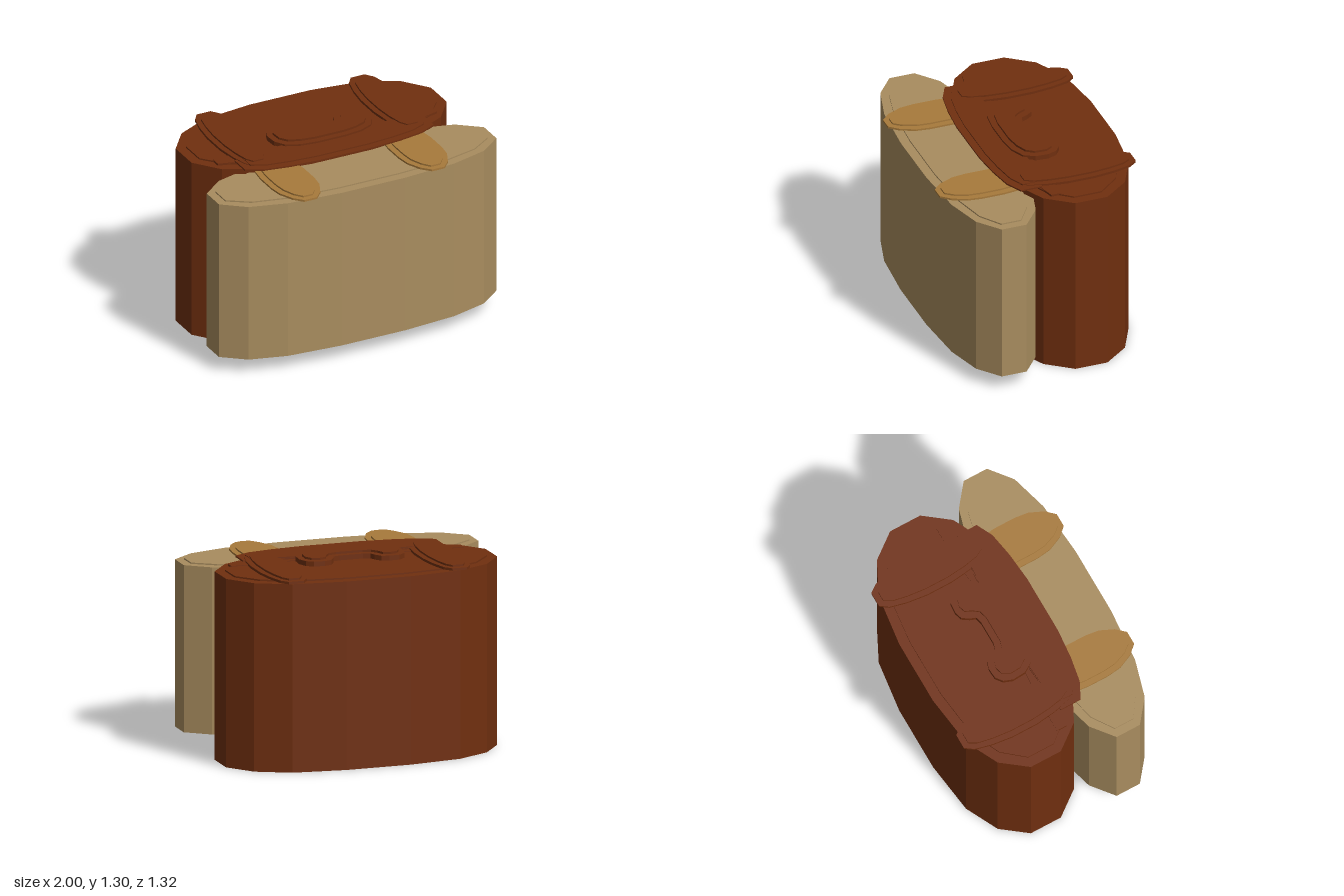
import * as THREE from 'three';

const mat = (name, color) => new THREE.MeshStandardMaterial({ name, color, flatShading: true });

// Horizontal slab from an [x, z] outline, between heights y0 and y1
function slab(name, pts, y0, y1, material) {
  const shape = new THREE.Shape(pts.map(([x, z]) => new THREE.Vector2(x, -z)));
  const geo = new THREE.ExtrudeGeometry(shape, { depth: y1 - y0, bevelEnabled: false });
  geo.rotateX(-Math.PI / 2).translate(0, y0, 0);
  const mesh = new THREE.Mesh(geo, material);
  mesh.name = name;
  return mesh;
}

// Full 16-sided outline from one quadrant of points, mirrored both ways about (cx, cz)
function oval(quarter, cx, cz, sx = 1, sz = 1) {
  const half = [...quarter, ...[...quarter].reverse().map(([x, z]) => [-x, z])];
  const all = [...half, ...[...half].reverse().map(([x, z]) => [x, -z])];
  return all.map(([x, z]) => [cx + x * sx, cz + z * sz]);
}

// Outline mirrored about x = 0, given its right half
const mirrorX = (right) => [...right, ...[...right].reverse().map(([x, z]) => [-x, z])];

export function createModel() {
  const group = new THREE.Group();
  const brown = mat('brown leather', 0x702f0f);
  const tan = mat('tan canvas', 0xa98d5f);
  const ochre = mat('ochre strap', 0xa87a3b);
  const add = (...args) => group.add(slab(...args));

  // Main compartment and its raised lid panel
  const mainQ = [[0.92, 0.11], [0.79, 0.28], [0.57, 0.39], [0.22, 0.435]];
  add('mainBody', oval(mainQ, 0, -0.225), 0, 1.24, brown);
  add('mainLidPanel', oval(mainQ, 0, -0.225, 0.93, 0.85), 1.24, 1.25, brown);

  // Front pocket and its raised panel
  const pocketQ = [[1, 0.085], [0.85, 0.205], [0.6, 0.275], [0.23, 0.305]];
  add('frontPocket', oval(pocketQ, 0, 0.335), 0.105, 1.205, tan);
  add('pocketPanel', oval(pocketQ, 0, 0.335, 0.945, 0.8), 1.205, 1.214, tan);

  // Hinge strip and the flap overhanging the pocket
  add('flapHinge', mirrorX([[0, -0.03], [0.6, -0.07], [0.79, -0.07], [0.79, 0.0], [0.6, 0.05]]), 1.24, 1.254, brown);
  const flap = [[0.22, -0.03], [0.55, 0], [0.68, 0.02], [0.68, 0.165], [0.57, 0.22], [0.4, 0.25], [0.2, 0.268]];
  add('flap', mirrorX(flap), 1.252, 1.262, brown);
  add('flapPanel', mirrorX(flap.map(([x, z]) => [x * 0.92, z * 0.82])), 1.262, 1.27, brown);

  // Oval straps, each a base with a smaller raised layer
  const strapQ = [[0.135, 0.09], [0.118, 0.23], [0.09, 0.345], [0.05, 0.4]];
  const pocketStrapQ = [[0.155, 0.075], [0.143, 0.17], [0.1, 0.265], [0.045, 0.325]];
  for (const s of [-1, 1]) {
    add('mainStrap', oval(strapQ, s * 0.555, -0.25), 1.25, 1.266, brown);
    add('mainStrapPanel', oval(strapQ, s * 0.555, -0.25, 0.72, 0.9), 1.266, 1.278, brown);
    add('pocketStrap', oval(pocketStrapQ, s * 0.46, 0.33), 1.213, 1.226, ochre);
    add('pocketStrapPanel', oval(pocketStrapQ, s * 0.46, 0.33, 0.75, 0.89), 1.226, 1.237, ochre);
  }

  // Curved carry handle with a raised core
  add('handle', mirrorX([[0.08, -0.138], [0.125, -0.15], [0.14, -0.19], [0.17, -0.235], [0.22, -0.25], [0.29, -0.245],
    [0.335, -0.21], [0.358, -0.15], [0.352, -0.06], [0.31, 0.01], [0.22, 0.05], [0.1, 0.065]]), 1.25, 1.282, brown);
  add('handleCore', mirrorX([[0.09, -0.095], [0.145, -0.11], [0.175, -0.15], [0.195, -0.195], [0.24, -0.21], [0.29, -0.195],
    [0.317, -0.15], [0.312, -0.07], [0.275, -0.02], [0.2, 0.01], [0.1, 0.025]]), 1.282, 1.296, brown);

  return group;
}
